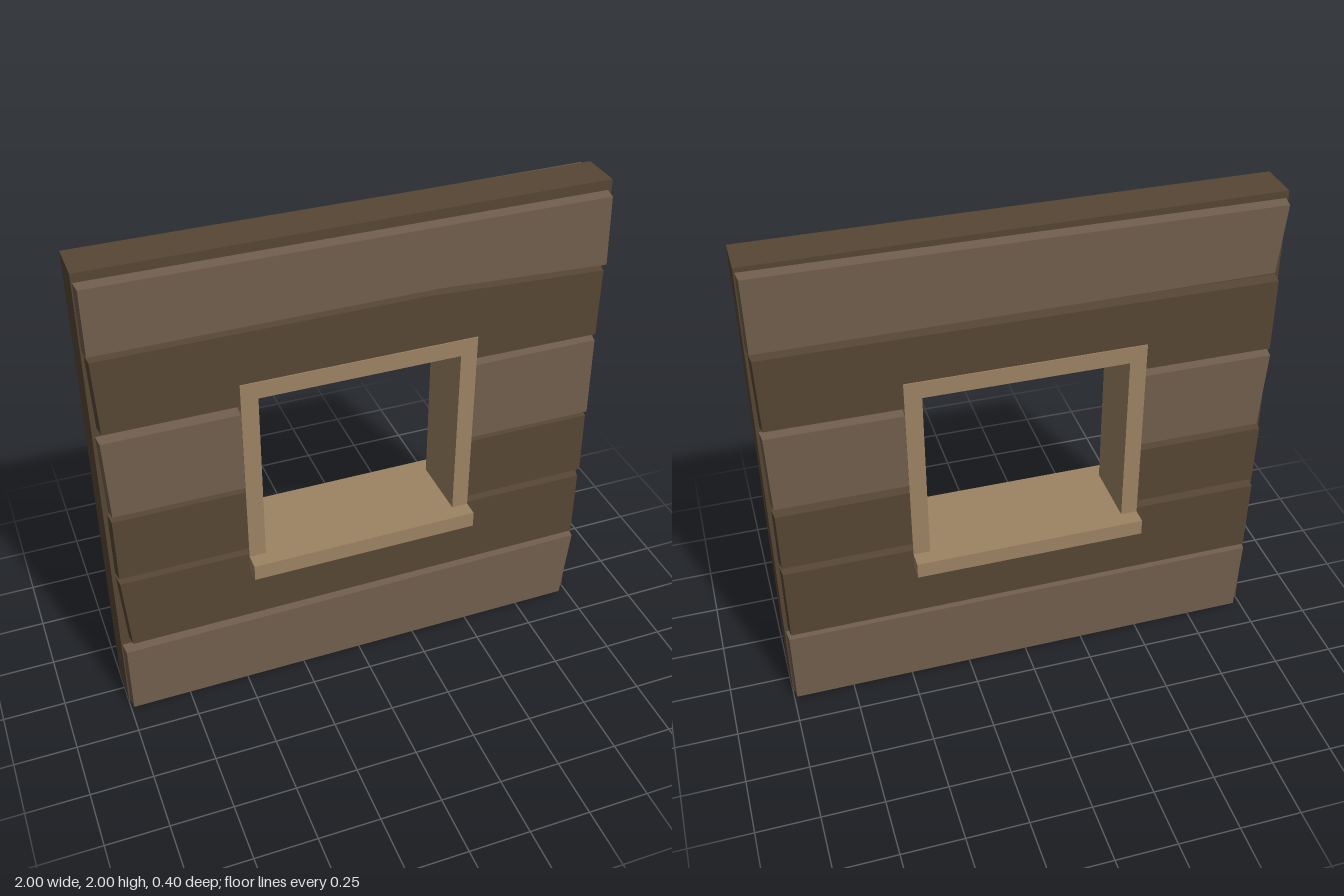
import * as THREE from 'three';

const DARK = 0x564634, LIGHT = 0x715e4d, TAN = 0x9d8363;
const CORE = 0.084, FACE = 0.132;             // half depth of core, plank face
const HOLE = { x: 0.45, low: 0.63, high: 1.45 }; // opening hidden behind the frame

const material = (color) => new THREE.MeshStandardMaterial({ color, flatShading: true });

function box(name, w, h, d, x, y, color) {
  const mesh = new THREE.Mesh(new THREE.BoxGeometry(w, h, d), material(color));
  mesh.name = name;
  mesh.position.set(x, y, 0);
  return mesh;
}

// Flat board from an outline, its outer face slightly smaller than its base
function board(name, points, color) {
  const depth = FACE - CORE;
  const shape = new THREE.Shape(points.map(([x, y]) => new THREE.Vector2(x, y)));
  const geometry = new THREE.ExtrudeGeometry(shape, { depth, bevelEnabled: false });
  geometry.computeBoundingBox();
  const c = geometry.boundingBox.getCenter(new THREE.Vector3());
  const p = geometry.attributes.position;
  for (let i = 0; i < p.count; i++) {
    if (p.getZ(i) < depth / 2) continue;
    const x = p.getX(i), y = p.getY(i);
    if (Math.abs(x) > 0.9) p.setX(i, x - 0.006 * Math.sign(x));
    p.setY(i, y - 0.004 * Math.sign(y - c.y));
  }
  geometry.computeVertexNormals();
  const mesh = new THREE.Mesh(geometry, material(color));
  mesh.name = name;
  mesh.position.z = CORE;
  return mesh;
}

// One side of cladding. Row: four corners (top left, top right, bottom right,
// bottom left), colour, how the window cuts it, optional bend x of the top / bottom edge
function cladding(name, rows) {
  const group = new THREE.Group();
  group.name = name;
  rows.forEach(({ corners: [tl, tr, br, bl], color, cut, bendTop, bendBottom }, i) => {
    const at = (a, b, x) => [x, a[1] + (b[1] - a[1]) * (x - a[0]) / (b[0] - a[0])];
    const w = HOLE.x, label = `plank${i + 1}`;
    if (cut === 'split') {
      group.add(board(label + 'Left', [tl, at(tl, tr, -w), at(bl, br, -w), bl], color));
      group.add(board(label + 'Right', [at(tl, tr, w), tr, br, at(bl, br, w)], color));
      return;
    }
    const outline = [tl];
    if (cut === 'top') {
      outline.push(at(tl, tr, -w), [-w, HOLE.low], [w, HOLE.low], at(tl, tr, w));
    } else if (bendTop) outline.push(bendTop);
    outline.push(tr, br);
    if (cut === 'bottom') {
      outline.push(at(bl, br, w), [w, HOLE.high], [-w, HOLE.high], at(bl, br, -w));
    } else if (bendBottom) outline.push(bendBottom);
    outline.push(bl);
    group.add(board(label, outline, color));
  });
  return group;
}

export function createModel() {
  const model = new THREE.Group();
  model.name = 'windowWall';

  // Solid core with the window opening
  const outer = new THREE.Shape([[-1, 0], [1, 0], [1, 2], [-1, 2]].map((p) => new THREE.Vector2(...p)));
  const { x: w, low, high } = HOLE;
  outer.holes.push(new THREE.Path([[-w, low], [-w, high], [w, high], [w, low]].map((p) => new THREE.Vector2(...p))));
  const core = new THREE.Mesh(
    new THREE.ExtrudeGeometry(outer, { depth: CORE * 2, bevelEnabled: false }), material(DARK));
  core.name = 'wallCore';
  core.position.z = -CORE;
  model.add(core);

  // Front planks, top to bottom
  model.add(cladding('frontPlanks', [
    { corners: [[-0.995, 1.965], [0.985, 1.96], [0.995, 1.67], [-0.995, 1.7]], color: LIGHT, bendBottom: [0.3, 1.705] },
    { corners: [[-0.99, 1.685], [0.985, 1.655], [0.985, 1.365], [-0.98, 1.38]], color: DARK, cut: 'bottom', bendTop: [0.25, 1.69] },
    { corners: [[-0.99, 1.345], [0.985, 1.345], [0.99, 0.995], [-0.98, 1.005]], color: LIGHT, cut: 'split' },
    { corners: [[-0.985, 0.99], [0.985, 0.985], [0.99, 0.7], [-0.985, 0.705]], color: DARK, cut: 'split' },
    { corners: [[-0.985, 0.685], [0.985, 0.675], [0.985, 0.365], [-0.965, 0.357]], color: DARK, cut: 'top' },
    { corners: [[-0.995, 0.325], [0.995, 0.342], [0.965, 0.015], [-0.995, 0.008]], color: LIGHT },
  ]));

  // Back planks, laid out as seen from behind
  const back = cladding('backPlanks', [
    { corners: [[-0.995, 1.982], [0.99, 1.972], [0.965, 1.69], [-0.995, 1.685]], color: LIGHT },
    { corners: [[-0.99, 1.665], [0.985, 1.66], [0.985, 1.355], [-0.985, 1.36]], color: DARK, cut: 'bottom' },
    { corners: [[-0.99, 1.335], [0.99, 1.33], [0.97, 1.0], [-0.985, 1.005]], color: LIGHT, cut: 'split' },
    { corners: [[-0.985, 0.975], [0.985, 0.98], [0.98, 0.715], [-0.985, 0.715]], color: DARK, cut: 'split' },
    { corners: [[-0.985, 0.69], [0.985, 0.685], [0.98, 0.36], [-0.985, 0.36]], color: DARK, cut: 'top' },
    { corners: [[-0.995, 0.345], [0.985, 0.342], [0.97, 0.012], [-0.995, 0.01]], color: LIGHT },
  ]);
  back.rotation.y = Math.PI;
  model.add(back);

  // Window frame and deep sill
  const frame = new THREE.Group();
  frame.name = 'windowFrame';
  const depth = 0.272;
  for (const s of [-1, 1]) {
    frame.add(box(s > 0 ? 'leftJamb' : 'rightJamb', 0.067, 0.733, depth, s * 0.4335, 1.0335, TAN));
  }
  frame.add(box('lintel', 0.934, 0.07, depth, 0, 1.435, TAN));
  frame.add(box('sill', 0.934, 0.067, 0.4, 0, 0.6335, TAN));
  model.add(frame);

  return model;
}
